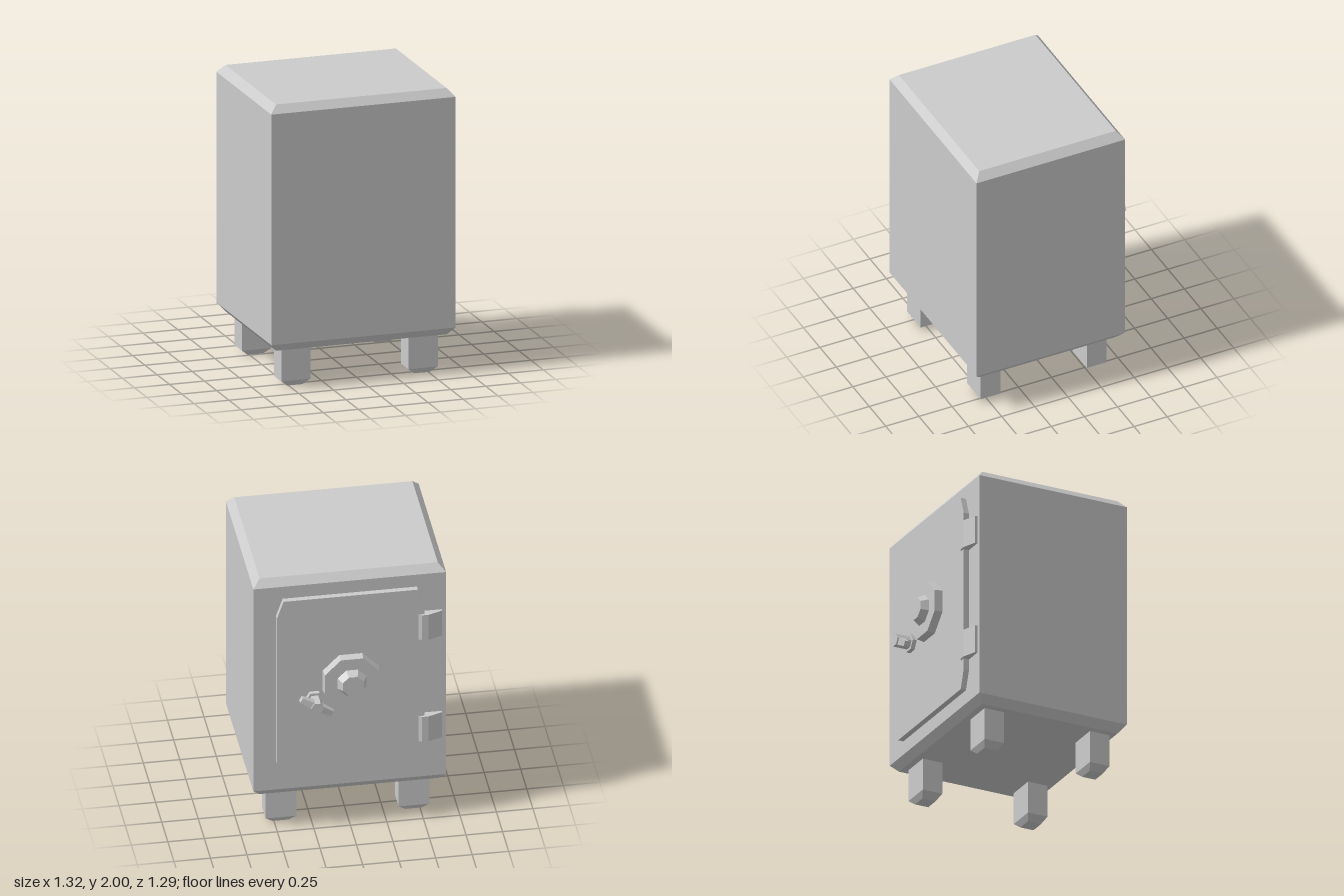
import * as THREE from 'three';

const material = new THREE.MeshStandardMaterial({ color: 0xcccccc, flatShading: true });

function add(parent, name, geometry) {
  const mesh = new THREE.Mesh(geometry, material);
  mesh.name = name;
  parent.add(mesh);
  return mesh;
}

// Closed solid from stacked rectangles, each [y, halfX, halfZ]
function loft(sections) {
  const rings = sections.map(([y, x, z]) => [[-x, y, -z], [-x, y, z], [x, y, z], [x, y, -z]]);
  const pos = [];
  const quad = (a, b, c, d) => pos.push(...a, ...b, ...c, ...a, ...c, ...d);
  for (let k = 0; k < rings.length - 1; k++) {
    for (let i = 0; i < 4; i++) {
      const j = (i + 1) % 4;
      quad(rings[k][i], rings[k][j], rings[k + 1][j], rings[k + 1][i]);
    }
  }
  quad(...rings[rings.length - 1]);
  quad(...[...rings[0]].reverse());
  const geometry = new THREE.BufferGeometry();
  geometry.setAttribute('position', new THREE.Float32BufferAttribute(pos, 3));
  geometry.computeVertexNormals();
  return geometry;
}

// Faceted disc pointing out of the door (-z), from depth z0 to z1
function disc(rBase, rTip, sides, turn, z0, z1) {
  const geometry = new THREE.CylinderGeometry(rTip, rBase, z0 - z1, sides);
  return geometry.rotateY(turn).rotateX(-Math.PI / 2).translate(0, 0, (z0 + z1) / 2);
}

function extrude(points, depth) {
  const shape = new THREE.Shape(points.map(([x, y]) => new THREE.Vector2(x, y)));
  return new THREE.ExtrudeGeometry(shape, { depth, bevelEnabled: false });
}

export function createModel() {
  const safe = new THREE.Group();
  safe.name = 'safe';

  // Cabinet with chamfered top and bottom rims
  add(safe, 'cabinet', loft([
    [0.27, 0.61, 0.515], [0.325, 0.66, 0.56], [1.945, 0.66, 0.56], [2, 0.61, 0.515],
  ])).position.z = 0.085;

  // Four feet with tapered tips
  for (const x of [-0.455, 0.455]) {
    for (const z of [-0.31, 0.49]) {
      add(safe, 'foot', loft([[0, 0.055, 0.05], [0.04, 0.105, 0.074], [0.29, 0.105, 0.074]]))
        .position.set(x, 0, z);
    }
  }

  // Door slab with clipped corners
  const w = 0.505, h = 0.713, cx = 0.045, cy = 0.13;
  add(safe, 'door', extrude([
    [-w, -h + cy], [-w + cx, -h], [w - cx, -h], [w, -h + cy],
    [w, h - cy], [w - cx, h], [-w + cx, h], [-w, h - cy],
  ], 0.06)).position.set(0, 1.137, -0.515);

  // Two hinges: wedge profile extruded upward
  for (const y of [0.635, 1.45]) {
    const profile = [[-0.63, 0.46], [-0.465, 0.46], [-0.465, 0.515], [-0.487, 0.53], [-0.53, 0.53], [-0.63, 0.492]];
    add(safe, 'hinge', extrude(profile, 0.2).rotateX(-Math.PI / 2)).position.y = y;
  }

  // Octagonal combination dial
  const dial = new THREE.Group();
  dial.name = 'dial';
  dial.position.y = 1.19;
  add(dial, 'dialPlate', disc(0.209, 0.199, 8, Math.PI / 8, -0.51, -0.57));
  add(dial, 'dialKnob', disc(0.11, 0.078, 8, Math.PI / 8, -0.565, -0.62));
  safe.add(dial);

  // Turning handle: hexagonal hub with two tapered arms
  const handle = new THREE.Group();
  handle.name = 'handle';
  handle.position.set(0.25, 1.055, 0);
  add(handle, 'handleBase', disc(0.065, 0.065, 6, Math.PI / 6, -0.51, -0.545));
  add(handle, 'handleHub', disc(0.045, 0.045, 6, Math.PI / 6, -0.54, -0.65));
  const tilt = THREE.MathUtils.degToRad(31);
  add(handle, 'handleArms', loft([
    [-0.125, 0.019, 0.018], [-0.035, 0.026, 0.027], [0.035, 0.026, 0.027], [0.125, 0.019, 0.018],
  ]).rotateZ(tilt - Math.PI / 2)).position.z = -0.613;
  safe.add(handle);

  return safe;
}
